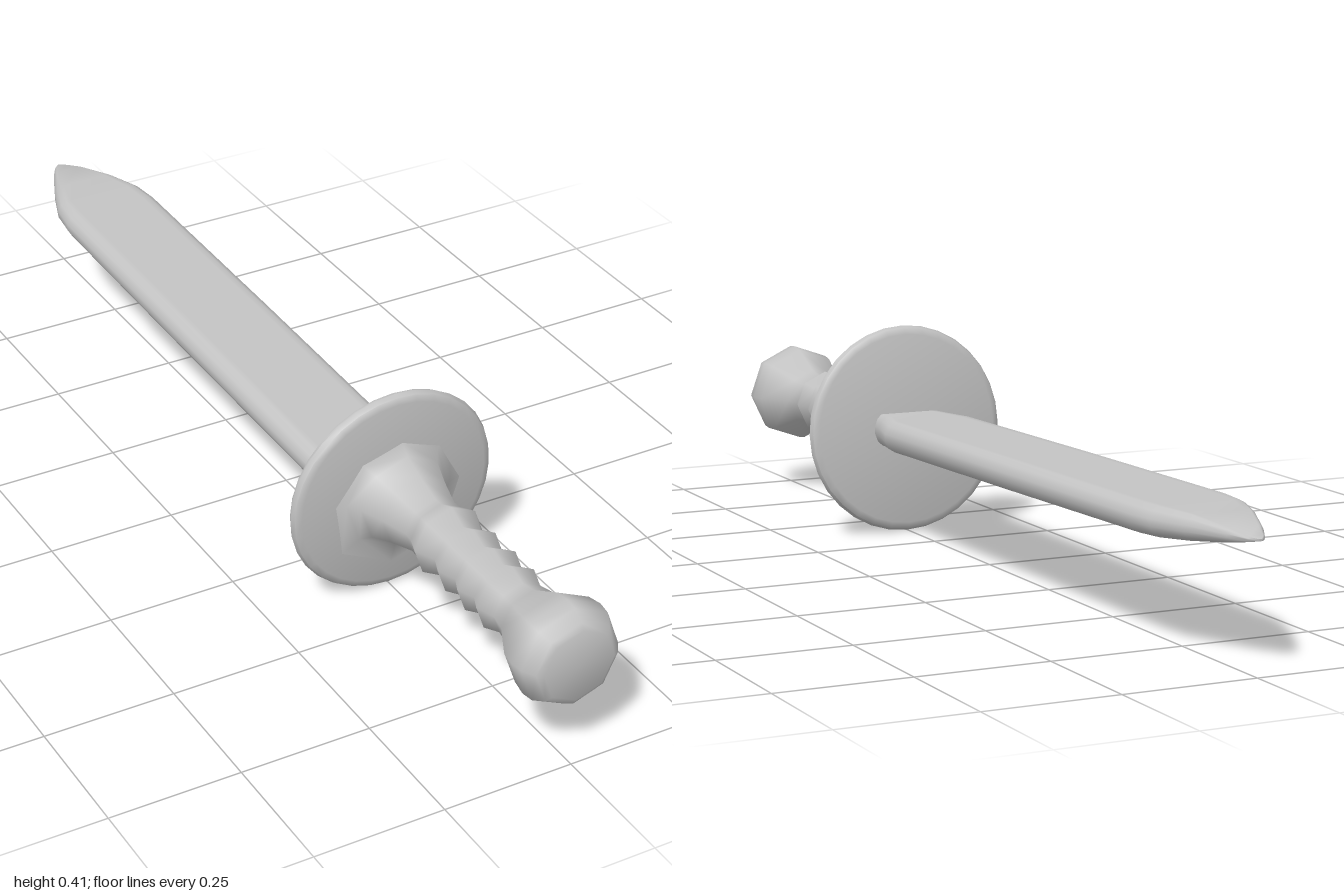
import * as THREE from 'three';
import { toCreasedNormals } from 'three/addons/utils/BufferGeometryUtils.js';

const steel = new THREE.MeshStandardMaterial({ color: 0xc4c4c4 });
steel.name = 'plain grey';

// Turned part whose axis runs along z; the profile lists [radius, z]
function turned(name, profile, sides, crease) {
  const points = profile.map(([r, z]) => new THREE.Vector2(r, z));
  const geometry = toCreasedNormals(new THREE.LatheGeometry(points, sides).rotateX(Math.PI / 2), crease);
  const mesh = new THREE.Mesh(geometry, steel);
  mesh.name = name;
  return mesh;
}

// Blade outline: one rounded quarter, mirrored into a ring running counter-clockwise seen from +z
const quarter = [[1, 0.25], [0.92, 0.75], [0.8, 1], [0.68, 1]];
const upper = [...quarter, ...quarter.map(([x, y]) => [-x, y]).reverse()];
const ring = [...upper, ...upper.map(([x, y]) => [-x, -y])];

// Blade skin through cross-sections, listed as [z, half width, middle y, half thickness]
function bladeGeometry(sections) {
  const position = [], index = [], n = ring.length;
  for (const [z, w, y, t] of sections) {
    for (const [px, py] of ring) position.push(px * w - 0.003, y + py * t, z);
  }
  const last = (sections.length - 1) * n;
  for (let s = 0; s < last; s += n) {
    for (let i = 0; i < n; i++) {
      const a = s + i, b = s + (i + 1) % n;
      index.push(a, a + n, b, b, a + n, b + n);
    }
  }
  // End caps
  for (let i = 1; i < n - 1; i++) {
    index.push(0, i, i + 1);
    index.push(last, last + i + 1, last + i);
  }
  const geometry = new THREE.BufferGeometry();
  geometry.setAttribute('position', new THREE.Float32BufferAttribute(position, 3));
  geometry.setIndex(index);
  return toCreasedNormals(geometry, 1);
}

export function createModel() {
  const group = new THREE.Group();
  group.name = 'shortSword';

  // Eight-sided grip with finger ridges, a flared collar and a heavy flat-ended pommel
  const grip = turned('gripAndPommel', [
    [0, 0.385], [0.15, 0.4], [0.108, 0.41], [0.09, 0.43], [0.073, 0.475], [0.057, 0.53],
    [0.059, 0.55], [0.071, 0.583], [0.053, 0.622], [0.067, 0.655], [0.053, 0.69],
    [0.067, 0.72], [0.053, 0.752], [0.066, 0.78], [0.053, 0.815], [0.06, 0.85],
    [0.095, 0.915], [0.1, 0.945], [0.097, 0.97], [0.082, 0.993], [0.07, 1], [0, 1],
  ], 8, 1.1);
  grip.position.set(0.005, 0.205, 0);
  grip.rotation.z = -0.05;
  grip.position.x = 0.006;
  group.add(grip);

  // Thin round guard, leaning slightly
  const guard = turned('guard', [
    [0, -0.013], [0.19, -0.013], [0.203, -0.009], [0.207, 0],
    [0.203, 0.009], [0.19, 0.013], [0, 0.016],
  ], 32, 0.9);
  guard.position.set(0, 0.207, 0.391);
  guard.rotation.x = 0.045;
  group.add(guard);

  // Blade, rising a little towards the tip
  const blade = new THREE.Mesh(bladeGeometry([
    [0.39, 0.072, 0.209, 0.031],
    [0.35, 0.078, 0.21, 0.031],
    [0.27, 0.1, 0.212, 0.03],
    [-0.25, 0.102, 0.221, 0.029],
    [-0.74, 0.102, 0.229, 0.027],
    [-0.8, 0.095, 0.23, 0.026],
    [-0.87, 0.07, 0.231, 0.022],
    [-0.95, 0.035, 0.23, 0.012],
    [-0.985, 0.016, 0.229, 0.005],
    [-1, 0.003, 0.229, 0.002],
  ]), steel);
  blade.name = 'blade';
  group.add(blade);

  return group;
}
